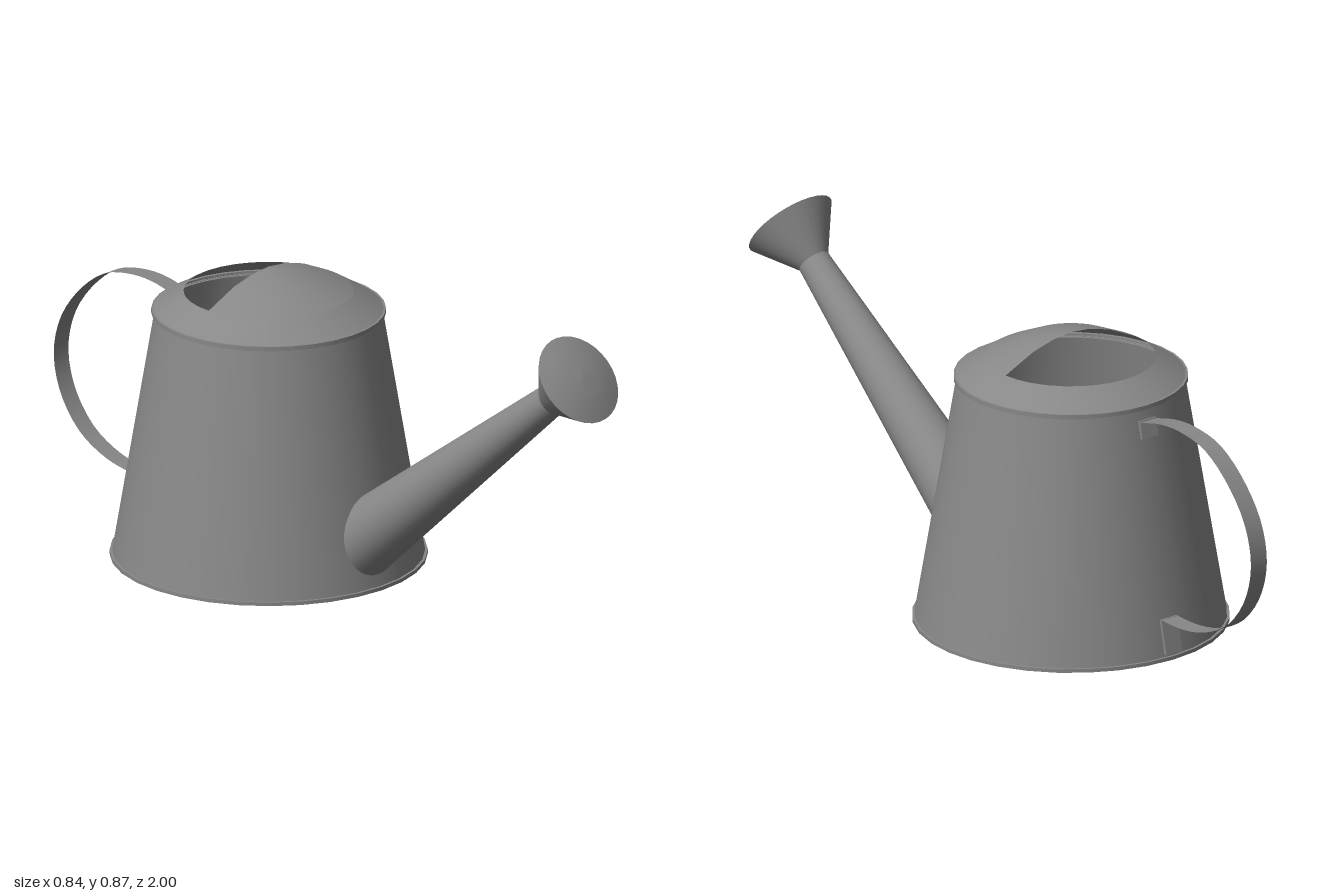
import * as THREE from 'three';

const BODY_Z = -0.23; // body axis
const SIDES = 32;

export function createModel() {
  const metal = new THREE.MeshStandardMaterial({ color: 0x888888, side: THREE.DoubleSide });
  metal.name = 'grey metal';
  const model = new THREE.Group();
  model.name = 'wateringCan';

  const add = (parent, name, geometry) => {
    const mesh = new THREE.Mesh(geometry, metal);
    mesh.name = name;
    parent.add(mesh);
    return mesh;
  };
  const lathe = (points, start = 0, sweep = Math.PI * 2) =>
    new THREE.LatheGeometry(points.map(([r, y]) => new THREE.Vector2(r, y)), SIDES, start, sweep);

  // Body: tapered shell, floor and two thin rims
  const body = new THREE.Group();
  body.name = 'body';
  body.position.z = BODY_Z;
  model.add(body);
  add(body, 'wall', lathe([[0.413, 0.01], [0.302, 0.675]]));
  const floor = add(body, 'floor', new THREE.CircleGeometry(0.415, SIDES));
  floor.rotation.x = Math.PI / 2;
  floor.position.y = 0.002;
  const addRim = (name, rOuter, rInner, y0, y1) => {
    add(body, name, lathe([[rOuter, y0], [rOuter, y1]]));
    [y0, y1].forEach((y, i) => {
      const ring = add(body, name + 'Face', new THREE.RingGeometry(rInner, rOuter, SIDES));
      ring.rotation.x = i ? -Math.PI / 2 : Math.PI / 2;
      ring.position.y = y;
    });
  };
  addRim('baseRim', 0.42, 0.405, 0, 0.01);
  addRim('topRim', 0.31, 0.295, 0.674, 0.686);

  // Cover: full sloping collar, with a dome over the front half only
  add(body, 'collar', lathe([[0.304, 0.686], [0.225, 0.735]]));
  add(body, 'halfDome', lathe([[0.225, 0.735], [0.13, 0.778], [0.06, 0.796], [0, 0.802]], -Math.PI / 2, Math.PI));

  // Spout with a flared, slightly domed rose, built along one tilted axis
  const spout = new THREE.Group();
  spout.name = 'spout';
  spout.position.set(0, 0.108, 0.10);
  spout.rotation.x = 0.89;
  model.add(spout);
  add(spout, 'spoutTube', lathe([[0.101, 0], [0.044, 0.935]]));
  add(spout, 'roseCone', lathe([[0.044, 0.93], [0.126, 1.054]]));
  add(spout, 'roseFace', lathe([[0.126, 1.054], [0.085, 1.067], [0.045, 1.074], [0, 1.077]]));

  // Handle: a flat strip bent along a curve behind the body
  const path = new THREE.CatmullRomCurve3([
    [0.645, -0.545], [0.665, -0.63], [0.667, -0.71], [0.645, -0.81], [0.575, -0.905],
    [0.48, -0.975], [0.375, -1.0], [0.27, -0.975], [0.18, -0.905], [0.13, -0.81],
    [0.112, -0.72], [0.113, -0.63],
  ].map(([y, z]) => new THREE.Vector3(0, y, z)), false, 'centripetal');
  const steps = 40;
  const strip = new THREE.PlaneGeometry(0.055, 1, 1, steps);
  const pos = strip.attributes.position;
  for (let i = 0; i < pos.count; i++) {
    const p = path.getPoint(Math.floor(i / 2) / steps);
    pos.setXYZ(i, pos.getX(i), p.y, p.z);
  }
  strip.computeVertexNormals();
  add(model, 'handle', strip);

  // Tabs folded down against the wall
  const addTab = (name, y0, z0, y1, z1) => {
    const tab = add(model, name, new THREE.BoxGeometry(0.055, Math.hypot(y1 - y0, z1 - z0), 0.008));
    tab.position.set(0, (y0 + y1) / 2, (z0 + z1) / 2);
    tab.rotation.x = Math.atan2(z0 - z1, y0 - y1);
  };
  addTab('upperTab', 0.648, -0.542, 0.6, -0.553);
  addTab('lowerTab', 0.113, -0.63, 0.02, -0.65);

  return model;
}
